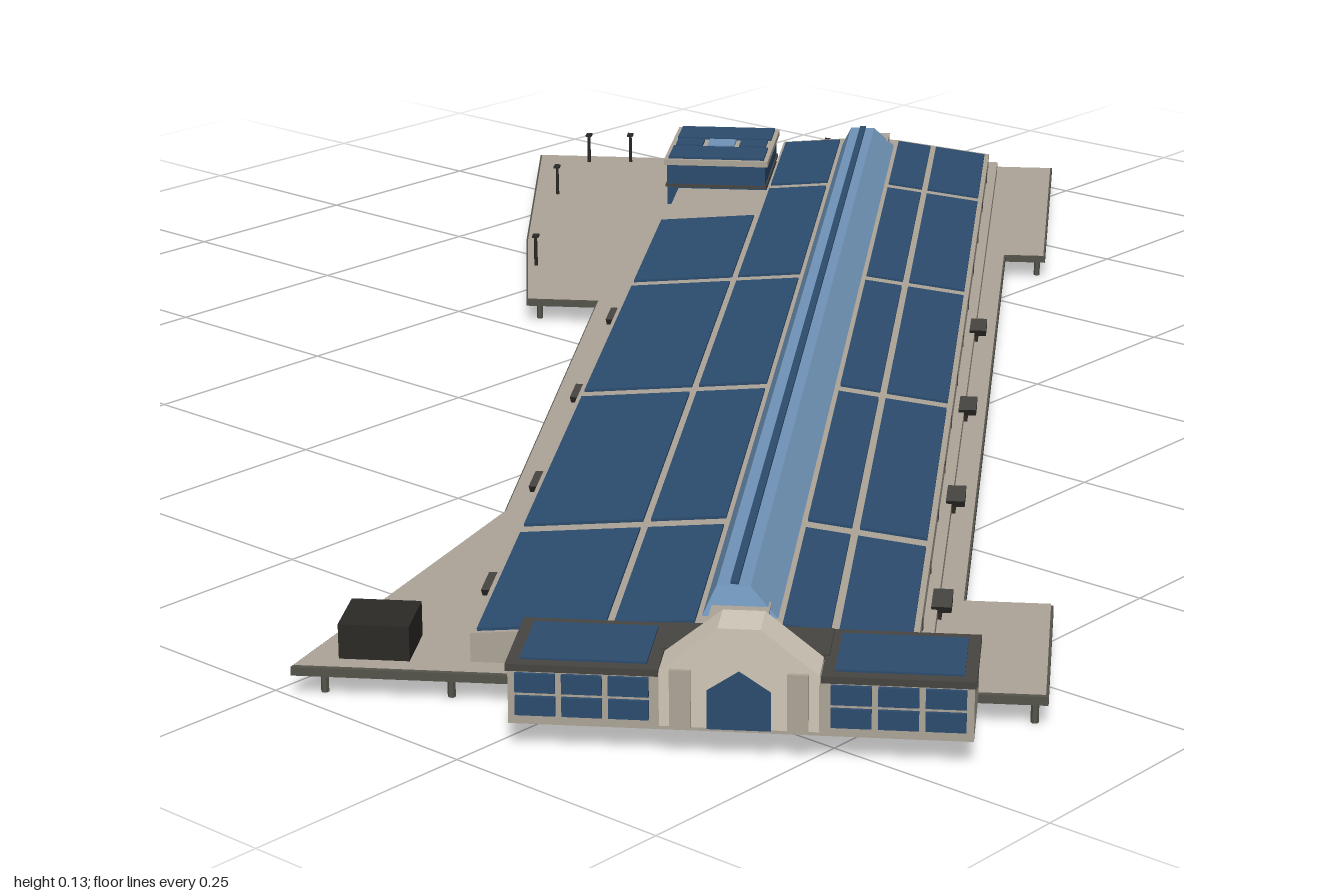
import * as THREE from 'three';
import { mergeGeometries } from 'three/addons/utils/BufferGeometryUtils.js';

const mat = (color) => new THREE.MeshStandardMaterial({ color, flatShading: true });
const M = {
  stone: mat(0xaea598), pale: mat(0xd0c8b8), dark: mat(0x474542), under: mat(0x55544c),
  blue: mat(0x2c4c6e), glass: mat(0x7094b8), black: mat(0x2c2a26),
};
const DECK = 0.032;

export function createModel() {
  const root = new THREE.Group();
  const pier = new THREE.Group();
  pier.name = 'pier';
  pier.rotation.y = THREE.MathUtils.degToRad(35);
  root.add(pier);

  // Local axes: x runs along the pier, z across it
  const add = (name, geo, m) => {
    const mesh = new THREE.Mesh(geo, m);
    mesh.name = name;
    pier.add(mesh);
    return mesh;
  };
  const boxGeo = (x0, x1, y0, y1, z0, z1) =>
    new THREE.BoxGeometry(x1 - x0, y1 - y0, z1 - z0).translate((x0 + x1) / 2, (y0 + y1) / 2, (z0 + z1) / 2);
  const box = (name, m, ...b) => add(name, boxGeo(...b), m);
  // Cross-section of [z, y] points swept along x
  const prismGeo = (pts, x0, x1) => {
    const shape = new THREE.Shape(pts.map(([z, y]) => new THREE.Vector2(-z, y)));
    return new THREE.ExtrudeGeometry(shape, { depth: x1 - x0, bevelEnabled: false })
      .rotateY(Math.PI / 2).translate(x0, 0, 0);
  };

  // Deck with dark edge and paved top
  const outline = [[0.972, -0.408], [0.972, 0.347], [0.513, 0.347], [0.513, 0.294], [-0.742, 0.294],
    [-0.742, 0.383], [-0.976, 0.383], [-0.976, -0.35], [-0.529, -0.214], [0.25, -0.222],
    [0.25, -0.314], [0.519, -0.357]];
  const deckShape = new THREE.Shape(outline.map(([x, z]) => new THREE.Vector2(x, -z)));
  add('deck', new THREE.ExtrudeGeometry(deckShape, { depth: 0.009, bevelEnabled: false })
    .rotateX(-Math.PI / 2).translate(0, DECK - 0.01, 0), M.under);
  add('deckPaving', new THREE.ShapeGeometry(deckShape).rotateX(-Math.PI / 2)
    .scale(0.997, 1, 0.993).translate(0, DECK, 0), M.stone);

  // Piles under the deck
  const piles = [];
  const pile = (x, z) => piles.push(new THREE.CylinderGeometry(0.004, 0.004, 0.024, 6).translate(x, 0.012, z));
  for (let i = 0; i < 25; i++)
    for (const z of [-0.195, -0.04, 0.115, 0.28]) pile(-0.96 + i * 0.08, z);
  for (let i = 0; i < 9; i++) pile(0.27 + i * 0.085, -0.3 - i * 0.01);
  for (let i = 0; i < 6; i++) pile(0.53 + i * 0.086, 0.336);
  for (let i = 0; i < 4; i++) {
    pile(-0.965 + i * 0.07, 0.37);
    pile(-0.96 + i * 0.08, -0.32 + i * 0.025);
  }
  for (let i = 0; i < 9; i++) pile(0.96, -0.39 + i * 0.085);
  add('piles', mergeGeometries(piles), M.under);

  // Main hall: shallow roof rising to the central skylight
  const EAVE = 0.062, TOP = 0.08, BACK = -0.178, FRONT = 0.256, Z0 = 0.045, Z1 = 0.122;
  const roofY = (z) => z < Z0
    ? EAVE + (TOP - EAVE) * (z - BACK) / (Z0 - BACK)
    : z > Z1 ? EAVE + (TOP - EAVE) * (FRONT - z) / (FRONT - Z1) : TOP;
  const profile = (back) => [[back, DECK], [back, roofY(back)], [Z0, TOP], [Z1, TOP], [FRONT, EAVE], [FRONT, DECK]];
  add('hall', prismGeo(profile(BACK), -0.948, 0.527), M.stone);
  add('hallEnd', prismGeo(profile(-0.042), 0.527, 0.925), M.stone);
  box('lowLink', M.stone, 0.527, 0.72, DECK, 0.056, -0.172, -0.042);
  box('frontApron', M.stone, -0.93, 0.945, DECK, 0.045, 0.25, 0.268);

  // Blue roof panels, split by the cross bands
  const panels = [];
  const panel = (x0, x1, z0, z1) => {
    const g = boxGeo(x0, x1, -0.003, 0.003, z0, z1);
    const p = g.attributes.position;
    for (let i = 0; i < p.count; i++) p.setY(i, p.getY(i) + roofY(p.getZ(i)));
    panels.push(g);
  };
  const bands = [-0.955, -0.667, -0.222, 0.222, 0.667, 0.922];
  for (let i = 0; i < 5; i++) {
    const x0 = bands[i] + 0.012, x1 = bands[i + 1] - 0.012;
    panel(x0, x1, 0.126, 0.172);
    panel(x0, x1, 0.18, 0.25);
    panel(x0, x1, -0.038, 0.041);
    if (i < 4) panel(x0, Math.min(x1, 0.52), -0.172, -0.046);
  }
  add('roofPanels', mergeGeometries(panels), M.blue);

  // Long raised skylight with hipped ends
  const sky = boxGeo(-0.926, 0.893, 0.078, 0.108, Z0, Z1);
  const sp = sky.attributes.position;
  for (let i = 0; i < sp.count; i++) {
    if (sp.getY(i) < 0.1) continue;
    sp.setX(i, sp.getX(i) - Math.sign(sp.getX(i)) * 0.012);
    sp.setZ(i, sp.getZ(i) < 0.08 ? Z0 + 0.014 : Z1 - 0.03);
  }
  sky.computeVertexNormals();
  add('skylight', sky, M.glass);
  box('skylightRidge', M.blue, -0.91, 0.88, 0.107, 0.111, 0.072, 0.08);
  for (const x of [-0.932, 0.9]) box('skylightEnd', M.stone, x - 0.024, x + 0.024, 0.07, 0.09, 0.055, 0.112);

  // Side entrances with flared canopies, and wall joints
  for (const side of [1, -1]) {
    const wall = side > 0 ? 0.268 : BACK;
    for (let i = 0; i < 4; i++) {
      const x = -0.78 + i * 0.306;
      box('entranceDoor', M.black, x - 0.014, x + 0.014, DECK, 0.042, wall - 0.004, wall + 0.004);
      const g = boxGeo(x - 0.025, x + 0.025, 0.04, 0.05, wall - 0.01, wall + 0.01).translate(0, 0, side * 0.004);
      const p = g.attributes.position;
      for (let k = 0; k < p.count; k++) if (p.getY(k) < 0.045) p.setX(k, x + (p.getX(k) - x) * 0.6);
      g.computeVertexNormals();
      add('entranceCanopy', g, M.dark);
    }
  }
  for (let i = 0; i < 12; i++) {
    const x = -0.86 + i * 0.153;
    box('wallJoint', M.dark, x, x + 0.003, 0.046, 0.06, FRONT - 0.001, FRONT + 0.001);
  }
  box('farEndWindows', M.blue, 0.92, 0.927, 0.042, 0.058, -0.02, 0.235);

  // Glazed annex in the rear corner
  box('annex', M.blue, 0.718, 0.895, DECK, 0.092, -0.188, -0.05);
  box('annexRoofEdge', M.stone, 0.714, 0.899, 0.09, 0.098, -0.192, -0.046);
  for (const [a, b] of [[0.72, 0.782], [0.83, 0.893]]) box('annexRoofPanel', M.blue, a, b, 0.096, 0.101, -0.186, -0.052);
  for (let i = 0; i < 3; i++)
    box('annexSkylight', i === 1 ? M.glass : M.blue, 0.788, 0.824, 0.096, 0.101, -0.184 + i * 0.045, -0.146 + i * 0.045);
  box('annexSill', M.dark, 0.716, 0.897, 0.058, 0.062, -0.19, -0.048);

  // Entrance building: two wings around a gabled portal
  const MID = 0.098, G0 = -1.076, G1 = -0.966;
  box('gatehouse', M.stone, G0, G1, DECK - 0.006, 0.083, MID - 0.218, MID + 0.218);
  box('gateMiddleRoof', M.dark, -1.03, G1, 0.082, 0.089, MID - 0.08, MID + 0.08);
  for (const side of [1, -1]) {
    const c = MID + side * 0.148;
    box('wingRoofEdge', M.dark, G0 - 0.003, G1 + 0.003, 0.08, 0.087, c - 0.072, c + 0.072);
    box('wingRoof', M.blue, G0 + 0.01, G1 - 0.01, 0.085, 0.089, c - 0.06, c + 0.06);
    for (let r = 0; r < 2; r++)
      for (let k = -1; k <= 1; k++)
        box('wingWindow', M.blue, G0 - 0.004, G0 + 0.002, 0.036 + r * 0.023, 0.055 + r * 0.023,
          c + k * 0.044 - 0.019, c + k * 0.044 + 0.019);
  }
  add('portalGable', prismGeo([[MID - 0.075, DECK], [MID - 0.075, 0.088], [MID - 0.02, 0.132], [MID + 0.02, 0.132],
    [MID + 0.075, 0.088], [MID + 0.075, DECK]], G0 - 0.006, -1.035), M.pale);
  add('portalDoor', prismGeo([[MID - 0.03, DECK], [MID - 0.03, 0.07], [MID, 0.09], [MID + 0.03, 0.07],
    [MID + 0.03, DECK]], G0 - 0.009, G0), M.blue);
  for (const side of [1, -1]) {
    const z = MID + side * 0.055;
    box('portalPillar', M.stone, G0 - 0.01, G0, DECK, 0.09, z - 0.01, z + 0.01);
  }

  // Dark service hut on the near corner
  box('serviceHut', M.black, -0.953, -0.885, DECK, 0.068, -0.307, -0.237);

  // Lamp posts on the wide end of the deck
  for (const [x, z] of [[0.4, -0.325], [0.756, -0.35], [0.936, -0.33], [0.944, -0.27], [0.944, -0.08], [0.944, 0.02]]) {
    add('lampPost', new THREE.CylinderGeometry(0.002, 0.0025, 0.04, 6).translate(x, DECK + 0.02, z), M.black);
    box('lampHead', M.black, x - 0.006, x + 0.006, 0.071, 0.074, z - 0.004, z + 0.004);
  }
  return root;
}
